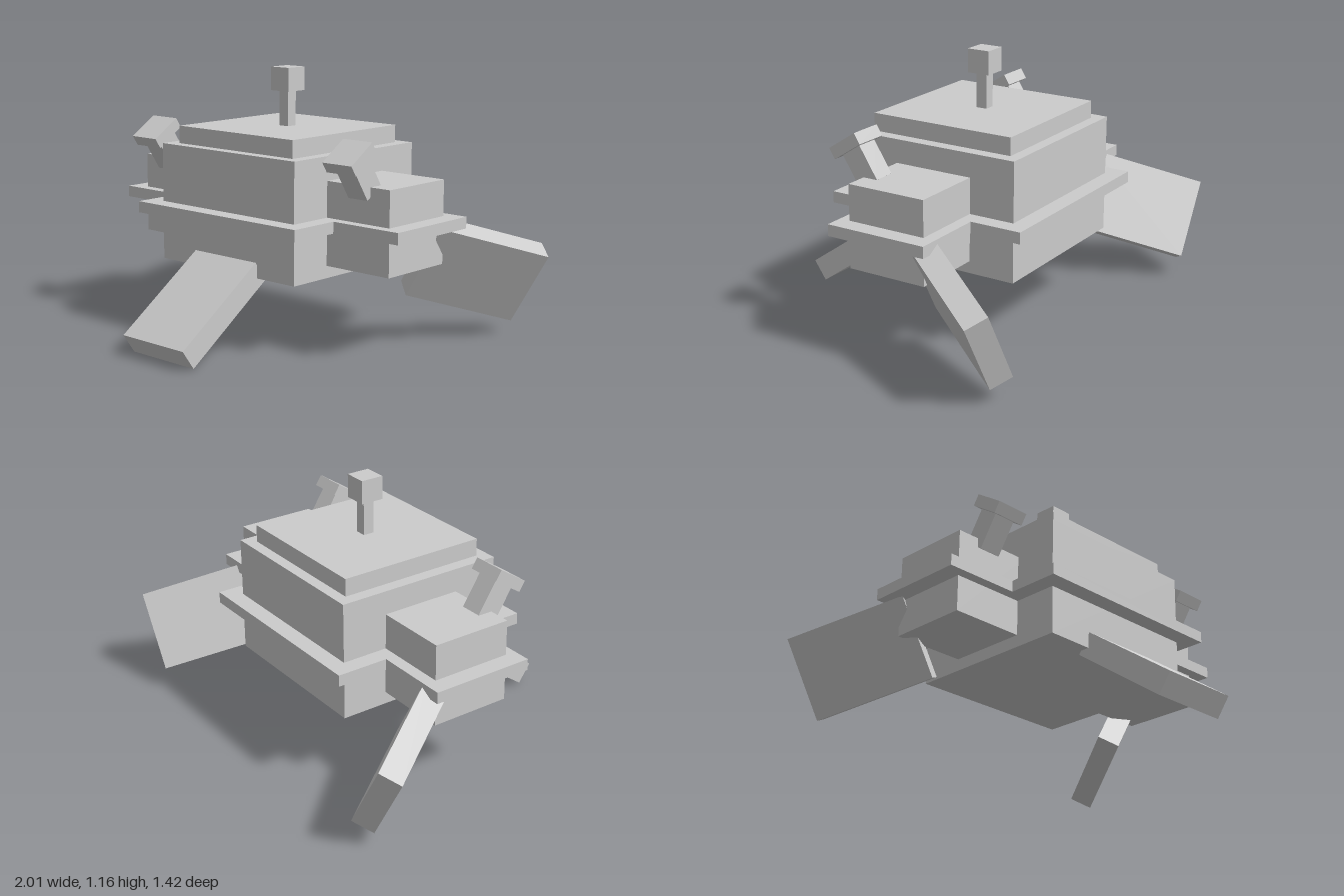
import * as THREE from 'three';

const material = new THREE.MeshStandardMaterial({ color: 0xcccccc, flatShading: true });

function addMesh(parent, name, geometry, x, y, z) {
  const mesh = new THREE.Mesh(geometry, material);
  mesh.name = name;
  mesh.position.set(x, y, z);
  parent.add(mesh);
  return mesh;
}

function addBox(parent, name, [w, h, d], [x, y, z]) {
  return addMesh(parent, name, new THREE.BoxGeometry(w, h, d), x, y, z);
}

export function createModel() {
  const model = new THREE.Group();
  model.name = 'lander';

  // Central hull and roof
  addBox(model, 'hull', [0.78, 0.516, 0.77], [0, 0.571, -0.104]);
  addBox(model, 'roof', [0.67, 0.08, 0.67], [0, 0.866, -0.104]);

  // Antenna
  addBox(model, 'antennaMast', [0.05, 0.17, 0.05], [0, 0.98, -0.104]);
  addBox(model, 'antennaHead', [0.103, 0.103, 0.103], [0, 1.112, -0.104]);

  // Cross-shaped rim around hull and side pods
  const half = [[0.465, 0.36], [0.465, 0.125], [0.8, 0.125], [0.8, -0.335], [0.465, -0.335], [0.465, -0.565]];
  const outline = [...half, ...half.map(([x, z]) => [-x, z]).reverse()];
  const rim = new THREE.ExtrudeGeometry(
    new THREE.Shape(outline.map(([x, z]) => new THREE.Vector2(x, z))),
    { depth: 0.05, bevelEnabled: false }
  );
  rim.rotateX(Math.PI / 2);
  addMesh(model, 'rim', rim, 0, 0.571, 0);

  // Legs: tilted slabs, the rear pair rolled outwards
  const legSize = [0.36, 0.102, 0.514];
  const tilt = THREE.MathUtils.degToRad(35);
  addBox(model, 'frontLeg', legSize, [0, 0.192, 0.469]).rotation.x = tilt;

  for (const [side, s] of [['left', 1], ['right', -1]]) {
    addBox(model, side + 'Pod', [0.36, 0.36, 0.36], [s * 0.54, 0.546, -0.102]);

    const leg = addBox(model, side + 'RearLeg', legSize, [s * 0.75, 0.316, -0.473]);
    leg.rotation.set(-tilt, 0, s * Math.PI / 3, 'ZYX');

    // Forward-leaning lamp: stalk with a wider cap
    const lamp = new THREE.Group();
    lamp.name = side + 'Lamp';
    lamp.position.set(s * 0.57, 0.7, 0.054);
    lamp.rotation.x = THREE.MathUtils.degToRad(33);
    addBox(lamp, side + 'LampStalk', [0.1, 0.155, 0.1], [0, 0.0775, 0]);
    addBox(lamp, side + 'LampCap', [0.152, 0.051, 0.152], [0, 0.18, 0]);
    model.add(lamp);
  }

  return model;
}
